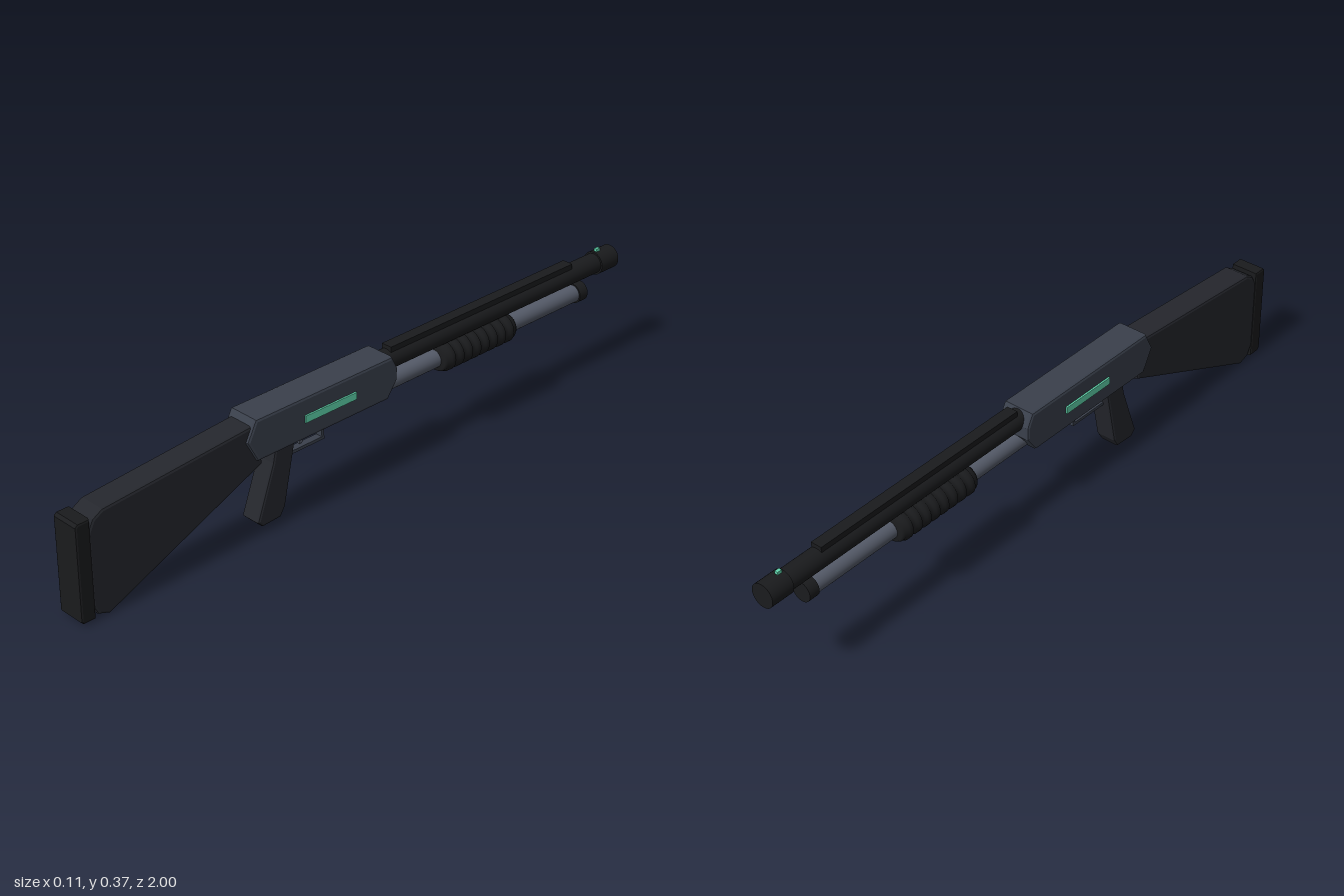
import * as THREE from 'three';

const mat = (color) => new THREE.MeshStandardMaterial({ color });
const steel = mat(0x3a404c), polymer = mat(0x25272d), black = mat(0x1a1b1d);
const tubeGrey = mat(0x555b69), glow = mat(0x62d9b0);

export function createModel() {
  const model = new THREE.Group();

  const add = (name, geometry, material, x = 0, y = 0, z = 0) => {
    const mesh = new THREE.Mesh(geometry, material);
    mesh.name = name;
    mesh.position.set(x, y, z);
    model.add(mesh);
    return mesh;
  };

  // Side profile of [z, y] points, extruded across x with bevelled edges
  const slab = (name, points, halfWidth, bevel, material) => {
    const shape = new THREE.Shape(points.map(([z, y]) => new THREE.Vector2(z, y)));
    const geometry = new THREE.ExtrudeGeometry(shape, {
      depth: 2 * (halfWidth - bevel), bevelEnabled: true, bevelSegments: 2,
      bevelSize: bevel, bevelThickness: bevel, bevelOffset: -bevel,
    });
    geometry.translate(0, 0, bevel - halfWidth);
    geometry.rotateY(-Math.PI / 2);
    return add(name, geometry, material);
  };

  // Round part along z, from z0 (rear) to z1 (muzzle side)
  const rod = (name, radius, y, z0, z1, material, rearRadius = radius) => {
    const geometry = new THREE.CylinderGeometry(rearRadius, radius, z0 - z1, 32);
    geometry.rotateX(Math.PI / 2);
    return add(name, geometry, material, 0, y, (z0 + z1) / 2);
  };

  const box = (name, w, h, d, x, y, z, material) =>
    add(name, new THREE.BoxGeometry(w, h, d), material, x, y, z);

  // Receiver with angled ends
  slab('receiver', [
    [0.42, 0.24], [0.455, 0.305], [0.425, 0.363], [-0.06, 0.363],
    [-0.08, 0.325], [-0.08, 0.288], [-0.045, 0.24],
  ], 0.049, 0.008, steel);

  // Shoulder stock and butt pad
  slab('stock', [
    [0.4, 0.222], [0.91, 0.005], [0.945, 0.018], [0.962, 0.05],
    [0.962, 0.26], [0.945, 0.293], [0.915, 0.31], [0.4, 0.347],
  ], 0.041, 0.008, polymer);
  slab('buttPad', [
    [0.955, 0.012], [0.992, 0.012], [1, 0.02], [1, 0.292],
    [0.992, 0.3], [0.955, 0.3],
  ], 0.043, 0.006, black);

  // Pistol grip
  slab('grip', [
    [0.275, 0.25], [0.285, 0.2], [0.315, 0.055], [0.332, 0.028],
    [0.395, 0.025], [0.412, 0.042], [0.355, 0.2], [0.345, 0.25],
  ], 0.032, 0.007, polymer);

  // Trigger guard and trigger
  box('guardBottom', 0.022, 0.009, 0.145, 0, 0.19, 0.228, steel);
  box('guardFront', 0.022, 0.056, 0.009, 0, 0.214, 0.16, steel);
  const trigger = box('trigger', 0.012, 0.045, 0.01, 0, 0.224, 0.237, tubeGrey);
  trigger.rotation.x = 0.15;

  // Barrel, muzzle collar, top rib and front sight
  rod('barrel', 0.03, 0.33, -0.04, -0.95, black);
  rod('muzzleCollar', 0.035, 0.33, -0.928, -1, black);
  box('topRib', 0.034, 0.02, 0.73, 0, 0.361, -0.45, black);
  box('frontSight', 0.01, 0.014, 0.014, 0, 0.366, -0.943, glow);

  // Magazine tube with end cap
  rod('magazineTube', 0.026, 0.262, -0.04, -0.85, tubeGrey);
  rod('magazineCap', 0.03, 0.262, -0.842, -0.875, black);

  // Pump handle: a lathed sleeve with rounded ridges
  const profile = [[0, -0.145], [0.036, -0.145], [0.041, -0.137]];
  const ridges = 8, pitch = 0.0335;
  for (let i = 0; i < ridges; i++) {
    const c = (i - (ridges - 1) / 2) * pitch;
    for (const [r, o] of [[0.041, -0.011], [0.0455, -0.007], [0.0455, 0.007], [0.041, 0.011]]) {
      profile.push([r, c + o]);
    }
  }
  profile.push([0.041, 0.137], [0.036, 0.145], [0, 0.145]);
  const pump = new THREE.LatheGeometry(profile.map(([r, h]) => new THREE.Vector2(r, h)), 32);
  pump.rotateX(Math.PI / 2);
  pump.scale(1.1, 0.97, 1);
  add('pumpHandle', pump, black, 0, 0.263, -0.415);

  // Light strips on both sides
  for (const side of [-1, 1]) {
    box(side > 0 ? 'leftStrip' : 'rightStrip', 0.01, 0.021, 0.182, side * 0.049, 0.301, 0.168, glow);
  }

  return model;
}
